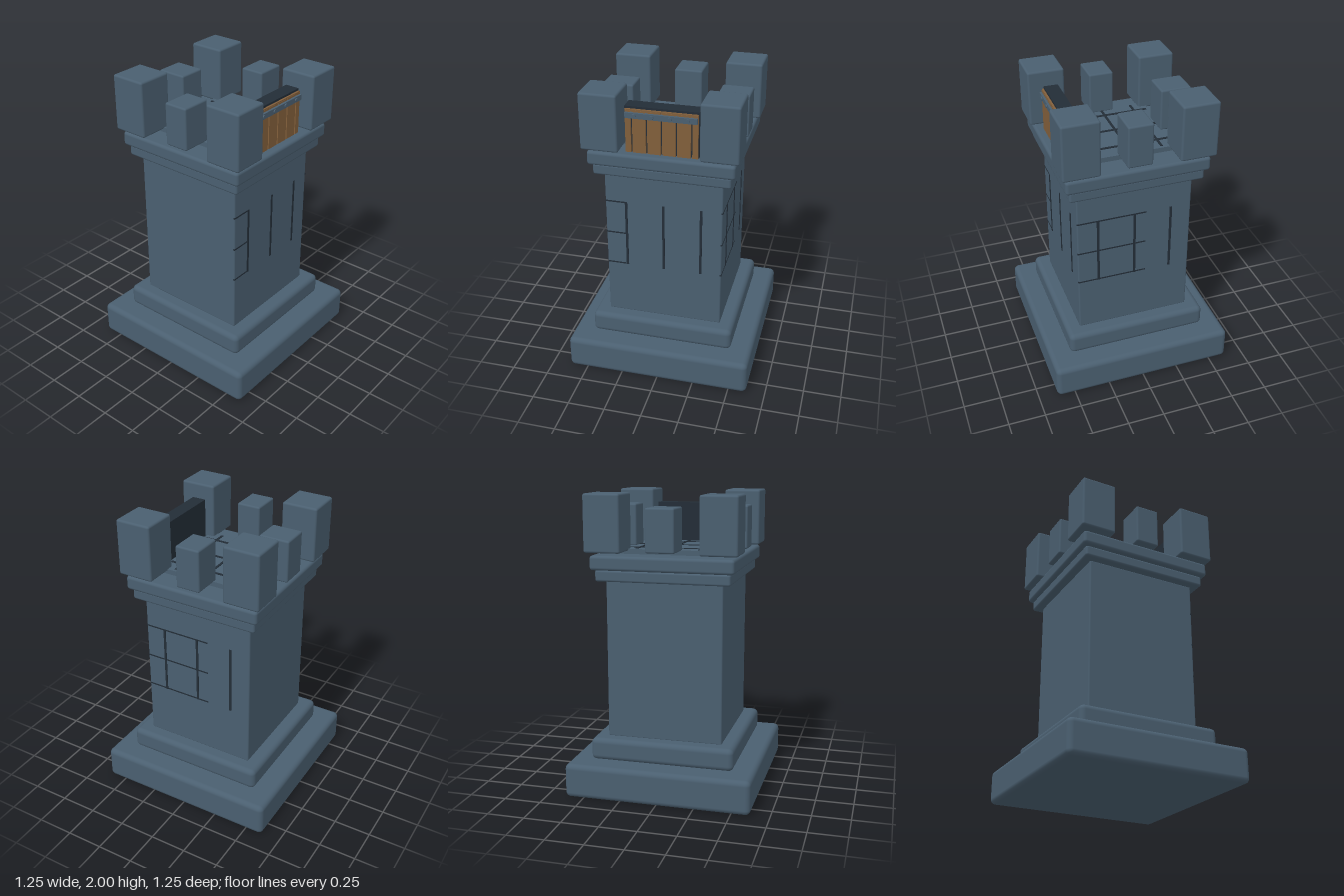
import * as THREE from 'three';
import { RoundedBoxGeometry } from 'three/addons/geometries/RoundedBoxGeometry.js';

export function createModel() {
  const tower = new THREE.Group();
  tower.name = 'tower';

  const material = (name, color) => {
    const m = new THREE.MeshStandardMaterial({ color });
    m.name = name;
    return m;
  };
  const stone = material('slate stone', 0x4a5f70);
  const dark = material('dark joints', 0x232d37);
  const wood = material('wood', 0x825f3b);

  // Box given by its limits on each axis; a radius rounds its edges
  function block(name, mat, [x0, x1], [y0, y1], [z0, z1], radius = 0, parent = tower) {
    const size = [x1 - x0, y1 - y0, z1 - z0];
    const geometry = radius
      ? new RoundedBoxGeometry(...size, 3, radius)
      : new THREE.BoxGeometry(...size);
    const mesh = new THREE.Mesh(geometry, mat);
    mesh.name = name;
    mesh.position.set((x0 + x1) / 2, (y0 + y1) / 2, (z0 + z1) / 2);
    parent.add(mesh);
    return mesh;
  }
  const around = (c, half) => [c - half, c + half];

  // Square courses stacked from the ground up: name, half width, bottom, top, radius
  const courses = [
    ['base', 0.625, 0, 0.23, 0.035],
    ['plinth', 0.485, 0.23, 0.38, 0.035],
    ['shaft', 0.39, 0.375, 1.44, 0.01],
    ['lowerCornice', 0.447, 1.435, 1.51, 0.015],
    ['upperCornice', 0.475, 1.51, 1.605, 0.02],
  ];
  for (const [name, half, y0, y1, r] of courses) {
    block(name, stone, around(0, half), [y0, y1], around(0, half), r);
  }

  // Raised roof floor with its grid of joints
  block('roofFloor', stone, [-0.315, 0.315], [1.6, 1.638], [-0.315, 0.312]);
  for (const p of [-0.21, 0, 0.21]) {
    block('floorJoint', dark, around(p, 0.008), [1.63, 1.643], [-0.295, 0.295]);
    block('floorJoint', dark, [-0.295, 0.295], [1.63, 1.642], around(p, 0.008));
  }

  // Corner merlons
  for (const sx of [-1, 1]) {
    for (const sz of [-1, 1]) {
      block('cornerMerlon', stone, around(sx * 0.38, 0.122), [1.625, 2], around(sz * 0.38, 0.122), 0.014);
    }
  }
  // Smaller merlons between them on the sides and back
  for (const sx of [-1, 1]) {
    block('sideMerlon', stone, around(sx * 0.38, 0.103), [1.632, 1.915], around(0, 0.083), 0.012);
  }
  block('backMerlon', stone, [-0.095, 0.095], [1.632, 1.915], [-0.486, -0.28], 0.012);

  // Joints on the front wall, copied on to the wall at +x
  function wallJoints(name, from, to) {
    const wall = new THREE.Group();
    wall.name = name;
    for (const x of [-0.25, 0, 0.25]) {
      block('uprightJoint', dark, around(x, 0.008), [0.755, 1.23], [0.38, 0.394], 0, wall);
    }
    for (const y of [0.76, 0.993, 1.225]) {
      block('levelJoint', dark, [from, to], around(y, 0.005), [0.38, 0.391], 0, wall);
    }
    tower.add(wall);
    return wall;
  }
  wallJoints('frontJoints', -0.39, -0.25);
  wallJoints('sideJoints', -0.39, 0.08).rotation.y = Math.PI / 2;

  // Plank gate between the front merlons
  const gate = new THREE.Group();
  gate.name = 'gate';
  tower.add(gate);
  block('gateBack', dark, [-0.236, 0.236], [1.6, 1.906], [0.31, 0.405], 0, gate);
  const seams = [-0.236, -0.19, -0.095, 0, 0.095, 0.19, 0.236];
  for (let i = 0; i < seams.length - 1; i++) {
    block('plank', wood, [seams[i] + 0.005, seams[i + 1] - 0.005], [1.6, 1.885], [0.4, 0.42], 0, gate);
  }
  block('topRail', wood, [-0.232, 0.232], [1.876, 1.892], [0.4, 0.418], 0, gate);

  // Band with bolts across the planks
  block('gateBand', stone, [-0.228, 0.228], [1.838, 1.874], [0.41, 0.435], 0, gate);
  for (const x of [-0.17, -0.057, 0.057, 0.17]) {
    const bolt = new THREE.Mesh(new THREE.CylinderGeometry(0.012, 0.014, 0.012, 12), stone);
    bolt.name = 'bolt';
    bolt.rotation.x = Math.PI / 2;
    bolt.position.set(x, 1.856, 0.436);
    gate.add(bolt);
  }

  return tower;
}
